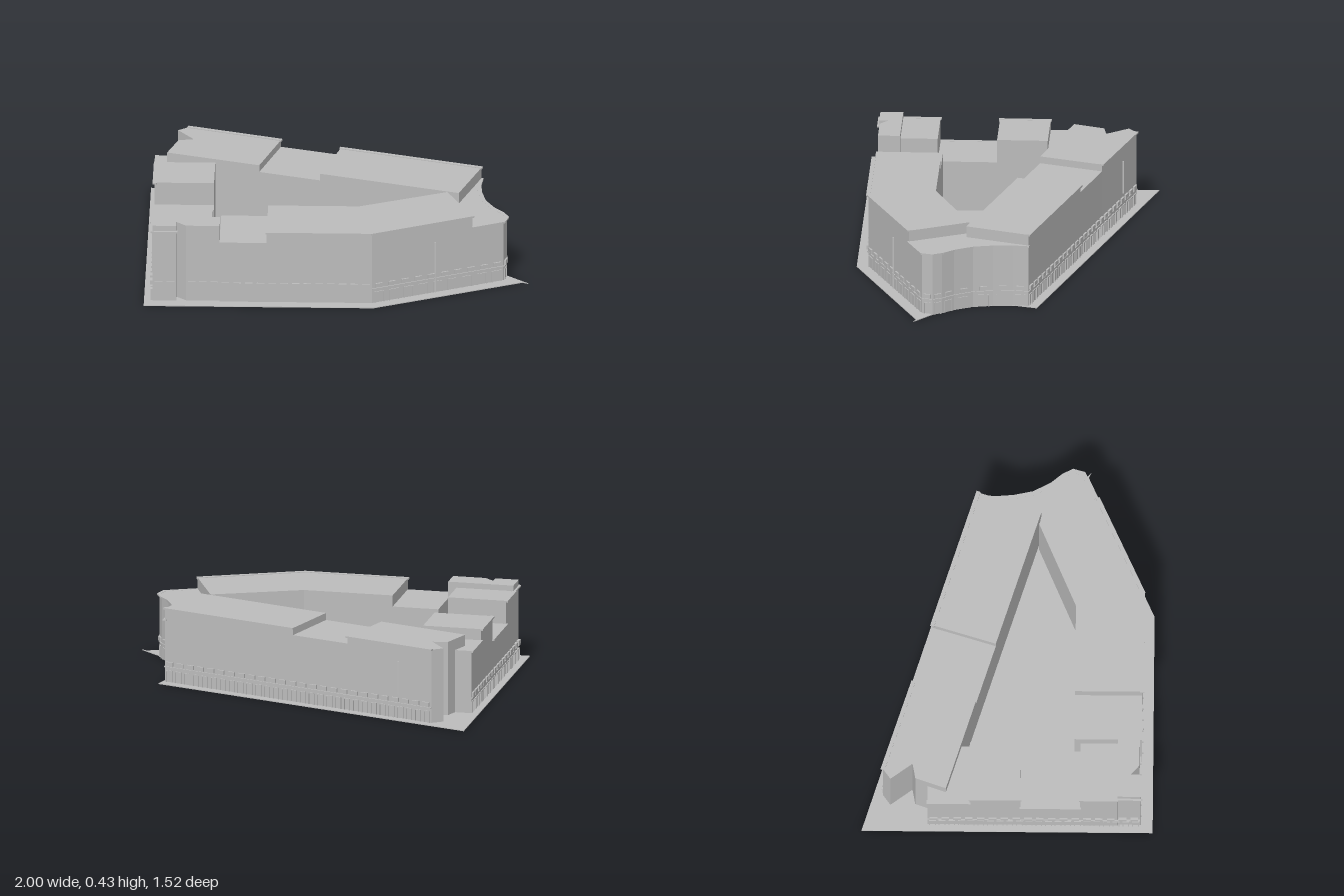
import * as THREE from 'three';

const stone = new THREE.MeshStandardMaterial({ color: 0xbcbcbc });
stone.name = 'grey stone';

export function createModel() {
  const model = new THREE.Group();
  model.name = 'cityBlock';

  // Upright prism from a plan outline of [x, z] points
  function block(name, plan, height, base = 0) {
    const shape = new THREE.Shape(plan.map(([x, z]) => new THREE.Vector2(x, -z)));
    const geo = new THREE.ExtrudeGeometry(shape, { depth: height - base, bevelEnabled: false });
    geo.rotateX(-Math.PI / 2);
    const mesh = new THREE.Mesh(geo, stone);
    mesh.name = name;
    mesh.position.y = base;
    model.add(mesh);
  }
  const rect = (x0, x1, z0, z1) => [[x0, z0], [x1, z0], [x1, z1], [x0, z1]];

  // Group lying along a wall from a to b; local z points outwards
  function wall(name, [ax, az], [bx, bz]) {
    const g = new THREE.Group();
    g.name = name;
    g.position.set(ax, 0, az);
    g.rotation.y = Math.atan2(az - bz, bx - ax);
    g.userData.len = Math.hypot(bx - ax, bz - az);
    model.add(g);
    return g;
  }
  function plate(g, name, x, y, w, h, d) {
    const mesh = new THREE.Mesh(new THREE.BoxGeometry(w, h, d), stone);
    mesh.name = name;
    mesh.position.set(x, y, 0);
    g.add(mesh);
  }
  function eave(a, b, y) {
    const g = wall('eave', a, b);
    plate(g, 'eaveStrip', g.userData.len / 2, y - 0.004, g.userData.len + 0.01, 0.009, 0.022);
  }
  // Row of window boxes and, below it, framed ground-floor openings
  function facade(a, b, windows, openings) {
    const g = wall('facade', a, b), len = g.userData.len;
    for (let i = 0; i < windows; i++) {
      plate(g, 'windowBox', (i + 0.5) * len / windows, 0.102, Math.min(0.04, len / windows * 0.65), 0.022, 0.018);
    }
    for (let i = 0; i < openings; i++) {
      const x = (i + 0.5) * len / openings, w = Math.min(0.06, len / openings * 0.6);
      for (const s of [-1, 1]) plate(g, 'openingJamb', x + s * w / 2, 0.033, 0.005, 0.066, 0.01);
      plate(g, 'openingHead', x, 0.064, w, 0.005, 0.01);
    }
    if (openings) plate(g, 'stringCourse', len / 2, 0.084, len, 0.005, 0.012);
  }

  // Concave east front, south to north
  const curve = [[0.87, 0.385], [0.885, 0.33], [0.86, 0.28], [0.81, 0.22], [0.76, 0.125],
    [0.738, 0.02], [0.73, -0.08], [0.74, -0.165]];

  // Ground plot
  block('groundPlot', [[-1, -0.76], [0.765, -0.21], [0.735, -0.1], [0.735, 0], [0.76, 0.125],
    [0.81, 0.22], [0.89, 0.33], [1, 0.425], [0.97, 0.41], [0.2, 0.76], [-1, 0.76]], 0.004);

  // North wing, with a lower middle bay
  const nA = [-0.315, -0.495], nB = [0, -0.398], sA = [-0.42, -0.167], sB = [-0.1, -0.066];
  block('northWingWest', [[-0.8, -0.65], nA, sA, [-0.905, -0.32], [-0.85, -0.48],
    [-0.77, -0.495], [-0.855, -0.61]], 0.4);
  block('northWingMiddle', [nA, nB, sB, sA], 0.362);
  block('northWingEast', [nB, [0.74, -0.165], [0.63, 0.165], sB], 0.4);

  // Low curved east wing
  block('eastWing', [[0.63, 0.165], [0.57, 0.153], [0.71, 0.46], ...curve], 0.34);

  // South wing, its west bay lower
  block('southWingWest', rect(-0.605, -0.36, 0.35, 0.7), 0.34);
  block('southWing', [[-0.36, 0.35], [0.115, 0.35], [0.57, 0.153], [0.71, 0.46], [0.19, 0.7], [-0.36, 0.7]], 0.4);

  // West wing of stepped blocks: z start, z end, height
  [[-0.415, -0.195, 0.34], [-0.195, 0.07, 0.4], [0.07, 0.38, 0.275], [0.38, 0.575, 0.4]].forEach(([z0, z1, h]) => {
    block('westWingBlock', rect(-0.96, -0.65, z0, z1), h);
    eave([-0.96, z0], [-0.96, z1], h);
  });

  // Corner tower with a notch in its front
  block('cornerTower', [[-0.955, 0.575], [-0.605, 0.575], [-0.605, 0.69], [-0.78, 0.69],
    [-0.83, 0.645], [-0.83, 0.695], [-0.955, 0.695]], 0.43);
  eave([-0.955, 0.575], [-0.955, 0.695], 0.4);
  eave([-0.955, 0.695], [-0.83, 0.695], 0.4);

  // Eaves
  eave([-0.36, 0.7], [0.19, 0.7], 0.403);
  eave([0.19, 0.7], [0.71, 0.46], 0.403);
  eave([0.71, 0.46], curve[0], 0.34);
  eave([0.74, -0.165], nB, 0.403);
  eave(nA, [-0.8, -0.65], 0.403);

  // Facades
  facade([-0.955, 0.695], [-0.83, 0.695], 2, 0);
  facade([-0.78, 0.69], [-0.605, 0.69], 3, 0);
  facade([-0.605, 0.7], [0.19, 0.7], 13, 0);
  facade([0.19, 0.7], curve[0], 10, 9);
  for (let i = 0; i + 1 < curve.length; i++) {
    facade(curve[i], curve[i + 1], 1, 1);
    eave(curve[i], curve[i + 1], 0.34);
  }
  facade([0.74, -0.165], [-0.8, -0.65], 26, 30);
  facade([-0.96, -0.415], [-0.96, 0.695], 18, 22);

  // Downpipes
  for (const [x, z, y0, y1] of [[-0.61, -0.592, 0.13, 0.31], [0.517, 0.552, 0, 0.29]]) {
    const pipe = new THREE.Mesh(new THREE.BoxGeometry(0.008, y1 - y0, 0.008), stone);
    pipe.name = 'downpipe';
    pipe.position.set(x, (y0 + y1) / 2, z);
    model.add(pipe);
  }
  return model;
}
